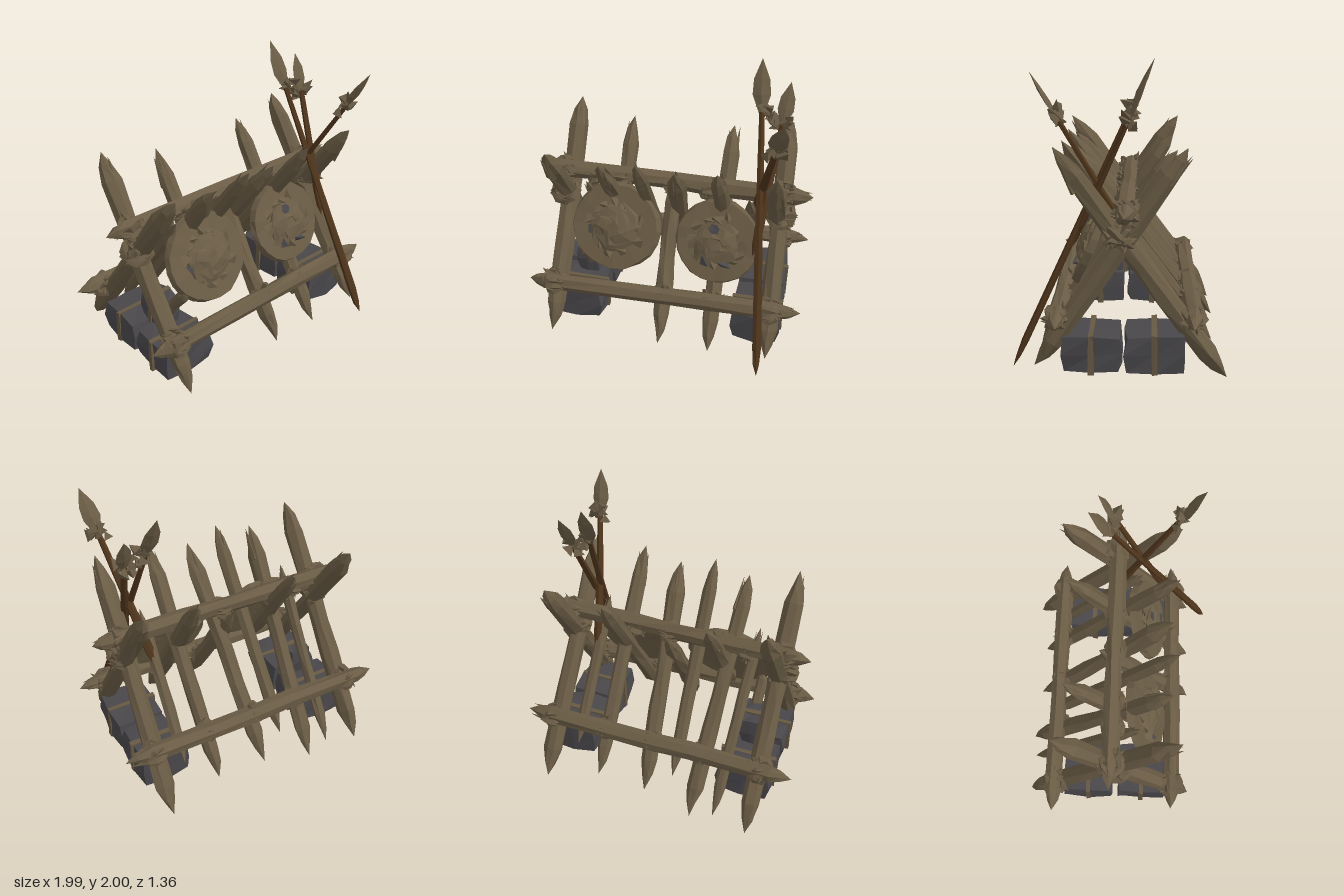
import * as THREE from 'three';
import { mergeVertices } from 'three/addons/utils/BufferGeometryUtils.js';

const V = (x, y, z) => new THREE.Vector3(x, y, z);
const UP = V(0, 1, 0);

export function createModel() {
  const root = new THREE.Group();
  root.name = 'barricade';
  let seed = 11;
  const rnd = () => (seed = (seed * 16807) % 2147483647) / 2147483647;
  const off = (a) => (rnd() * 2 - 1) * a;

  const paint = (name, color) => {
    const m = new THREE.MeshStandardMaterial({ color, flatShading: true, side: THREE.DoubleSide });
    m.name = name;
    return m;
  };
  const wood = paint('weathered wood', 0x6a5c45);
  const rope = paint('rope', 0x675943);
  const stone = paint('dark stone', 0x49474a);
  const shaftWood = paint('brown shaft', 0x4e341b);

  // Rough-hewn look: weld the corners, then push each a little
  const rough = (geo, a) => {
    geo.deleteAttribute('uv');
    geo.deleteAttribute('normal');
    const g = mergeVertices(geo, 1e-4);
    const p = g.attributes.position;
    for (let i = 0; i < p.count; i++) p.setXYZ(i, p.getX(i) + off(a), p.getY(i) + off(a), p.getZ(i) + off(a));
    g.computeVertexNormals();
    return g;
  };
  const add = (name, geo, mat, parent = root) => {
    const m = new THREE.Mesh(geo, mat);
    m.name = name;
    parent.add(m);
    return m;
  };
  // Place a shape built along y so that it runs from a to b
  const aim = (mesh, a, b) => {
    mesh.position.copy(a);
    mesh.quaternion.setFromUnitVectors(UP, b.clone().sub(a).normalize());
    return mesh;
  };

  // Log sharpened at both ends, with splinters by the far tip
  const log = (name, a, b, r, tipA, tipB) => {
    const L = a.distanceTo(b);
    const pts = [[0, 0], [r * 0.58, tipA * 0.5], [r * 0.96, tipA], [r, L * 0.36], [r * 0.93, L * 0.5],
      [r, L * 0.66], [r, L - tipB], [r * 0.62, L - tipB * 0.45], [0, L]];
    const g = rough(new THREE.LatheGeometry(pts.map((p) => new THREE.Vector2(...p)), 7), r * 0.12);
    const m = aim(add(name, g, wood), a, b);
    for (let i = 0; i < 2; i++) {
      const t = rnd() * 6.28, s = add('splinter', new THREE.ConeGeometry(r * 0.4, tipB * 1.1, 4), wood, m);
      s.position.set(Math.cos(t) * r * 0.65, L - tipB * (0.6 + rnd() * 0.25), Math.sin(t) * r * 0.65);
      s.rotation.set(off(0.12), t, off(0.12));
    }
  };

  // Stakes whose tops lean back: bottom x, bottom y, top x, top y
  const backLean = (y) => 0.555 - (y - 0.07) * 0.68;
  for (const [x0, y0, x1, y1, r] of [
    [-0.77, 0.07, -0.75, 1.48, 0.068], [-0.37, 0.5, -0.35, 1.4, 0.056], [0.01, 0.08, 0.0, 1.08, 0.062],
    [0.36, 0.08, 0.37, 1.41, 0.06], [0.77, 0.08, 0.76, 1.48, 0.068]])
    log('backLeaningStake', V(x0, y0, backLean(y0)), V(x1, y1, backLean(y1)), r, 0.21, 0.2);

  // Stakes whose tops lean forward
  const frontLean = (y) => -0.665 + (y - 0.01) * 0.735;
  for (const [x0, y0, x1, y1, r] of [
    [-0.76, 0.005, -0.76, 1.48, 0.067], [-0.52, 0.05, -0.57, 1.14, 0.042], [-0.35, 0.01, -0.42, 1.41, 0.06],
    [-0.18, 0.2, -0.16, 1.46, 0.05], [0.0, 0.09, 0.09, 1.41, 0.06], [0.36, 0.1, 0.37, 1.46, 0.058],
    [0.57, 0.24, 0.56, 1.14, 0.042], [0.76, 0.005, 0.74, 1.48, 0.067]])
    log('forwardLeaningStake', V(x0, y0, frontLean(y0)), V(x1, y1, frontLean(y1)), r, 0.21, 0.22);

  // Short prop behind the shield
  log('shieldProp', V(-0.59, 0.27, -0.02), V(-0.59, 0.68, 0.3), 0.042, 0.06, 0.08);

  // Three long rails
  log('frontRail', V(-0.97, 0.41, 0.41), V(0.98, 0.415, 0.4), 0.061, 0.12, 0.18);
  log('backRail', V(-1.0, 0.42, -0.46), V(0.98, 0.42, -0.45), 0.064, 0.14, 0.18);
  log('topRail', V(-0.98, 1.1, -0.04), V(0.98, 1.09, -0.02), 0.063, 0.16, 0.13);

  // Ragged lashings: crossed coils and frayed ends
  const lashing = (x, y, z, r, frays = 7) => {
    const g = new THREE.Group();
    g.name = 'lashing';
    g.position.set(x, y, z);
    root.add(g);
    for (const tilt of [-0.7, 0, 0.7]) {
      const c = add('coil', rough(new THREE.TorusGeometry(r * 0.82, r * 0.24, 4, 9), r * 0.1), rope, g);
      c.rotation.set(Math.PI / 2 + tilt, off(0.3), 0);
    }
    for (let i = 0; i < frays; i++) {
      const d = V(off(1), off(1), off(1)).normalize();
      const f = add('frayedEnd', rough(new THREE.ConeGeometry(r * 0.28, r * 0.8, 4), r * 0.08), rope, g);
      const p = d.clone().multiplyScalar(r * 0.9);
      aim(f, p, p.clone().add(V(d.x + off(0.9), d.y + off(0.9), d.z + off(0.9))));
    }
  };
  for (const x of [-0.78, 0.77]) {
    lashing(x, 0.94, 0.01, 0.105, 12);
    lashing(x, 1.09, -0.04, 0.1, 9);
    lashing(x, 0.41, 0.4, 0.095);
    lashing(x, 0.41, -0.44, 0.095);
  }
  for (const x of [0.01, 0.36]) {
    lashing(x, 0.41, 0.38, 0.08, 5);
    lashing(x, 0.41, -0.43, 0.08, 5);
  }
  for (const x of [-0.54, -0.36, 0.02, 0.26]) lashing(x, 1.07, -0.02, 0.08, 5);
  lashing(-0.35, 0.41, -0.43, 0.08, 5);

  // Stone blocks with worn corners, bound with rope
  const block = (x, y, z, w, h, d) => {
    const g = new THREE.Group();
    g.name = 'boundStone';
    g.position.set(x, y, z);
    root.add(g);
    const geo = new THREE.BoxGeometry(w, h, d, 2, 2, 2), p = geo.attributes.position;
    for (let i = 0; i < p.count; i++) {
      const c = V(p.getX(i), p.getY(i), p.getZ(i));
      if (Math.abs(c.x * c.y * c.z) > 1e-6) c.multiplyScalar(0.93);
      p.setXYZ(i, c.x, c.y, c.z);
    }
    add('stoneBlock', rough(geo, 0.01), stone, g);
    add('ropeBand', rough(new THREE.BoxGeometry(w + 0.02, h + 0.02, 0.035), 0.005), rope, g);
  };
  for (const z of [0.19, -0.21]) {
    block(-0.645, 0.185, z, 0.385, 0.23, 0.37);
    block(0.67, 0.19, z, 0.345, 0.24, 0.38);
  }
  block(-0.62, 0.4, 0.0, 0.16, 0.21, 0.23);

  // Round shields with a torn, dented middle
  const shield = (x, y, z, R, greys) => {
    const g = new THREE.Group();
    g.name = 'shield';
    g.position.set(x, y, z);
    g.rotation.x = -0.41;
    root.add(g);
    const disc = add('shieldBoard', rough(new THREE.CylinderGeometry(R * 0.95, R, 0.045, 20), 0.006), wood, g);
    disc.rotation.x = Math.PI / 2;
    const boss = add('boss', rough(new THREE.SphereGeometry(R * 0.57, 10, 5, 0, 6.2832, 0, 1.57), 0.024), wood, g);
    boss.rotation.x = Math.PI / 2;
    boss.scale.set(1, 0.34, 1);
    boss.position.z = 0.022;
    for (let i = 0; i < 15; i++) {
      const t = i * 0.42 + off(0.15), q = R * (0.5 + off(0.12));
      const s = add('tornScrap', rough(new THREE.TetrahedronGeometry(0.056), 0.017), greys.includes(i) ? stone : wood, g);
      s.scale.z = 0.5;
      s.position.set(Math.cos(t) * q, Math.sin(t) * q, 0.035);
      s.rotation.z = t;
    }
    return g;
  };
  shield(-0.36, 0.815, 0.205, 0.318, [8, 13]);
  const right = shield(0.36, 0.795, 0.205, 0.298, [10, 12]);
  const dent = add('dent', rough(new THREE.CircleGeometry(0.04, 6), 0.006), stone, right);
  dent.position.set(-0.02, 0.1, 0.08);

  // Spears leaning on the end of the rack
  const spear = (a, b, w, headLength) => {
    const dir = b.clone().sub(a).normalize();
    const neck = b.clone().addScaledVector(dir, -headLength);
    const L = a.distanceTo(neck);
    const butt = [[0, 0], [0.02, 0.08], [0.029, 0.2], [0.024, L * 0.5], [0.017, L]];
    const pole = new THREE.LatheGeometry(butt.map((p) => new THREE.Vector2(...p)), 6).scale(1.2, 1, 0.85);
    aim(add('spearShaft', rough(pole, 0.003), shaftWood), a, neck);
    const pts = [[0, -0.05], [w * 0.4, 0], [w, headLength * 0.32], [w * 0.88, headLength * 0.62], [0, headLength]];
    const head = new THREE.LatheGeometry(pts.map((p) => new THREE.Vector2(...p)), 4).scale(1, 1, 0.27);
    aim(add('spearHead', rough(head, 0.003), wood), neck, b);
    // Torn binding under the head
    for (let i = 0; i < 8; i++) {
      const s = add('spearBinding', rough(new THREE.TetrahedronGeometry(0.045), 0.012), rope);
      s.position.copy(neck).add(V(off(0.06), off(0.055), off(0.025)));
      s.rotation.set(off(3), off(3), off(3));
    }
  };
  spear(V(0.73, 0.06, 0.69), V(0.55, 2.0, -0.2), 0.06, 0.34);
  spear(V(0.55, 0.75, -0.12), V(0.76, 1.93, 0.54), 0.06, 0.31);
  spear(V(0.62, 0.8, 0.33), V(0.75, 1.88, -0.15), 0.055, 0.27);

  return root;
}
